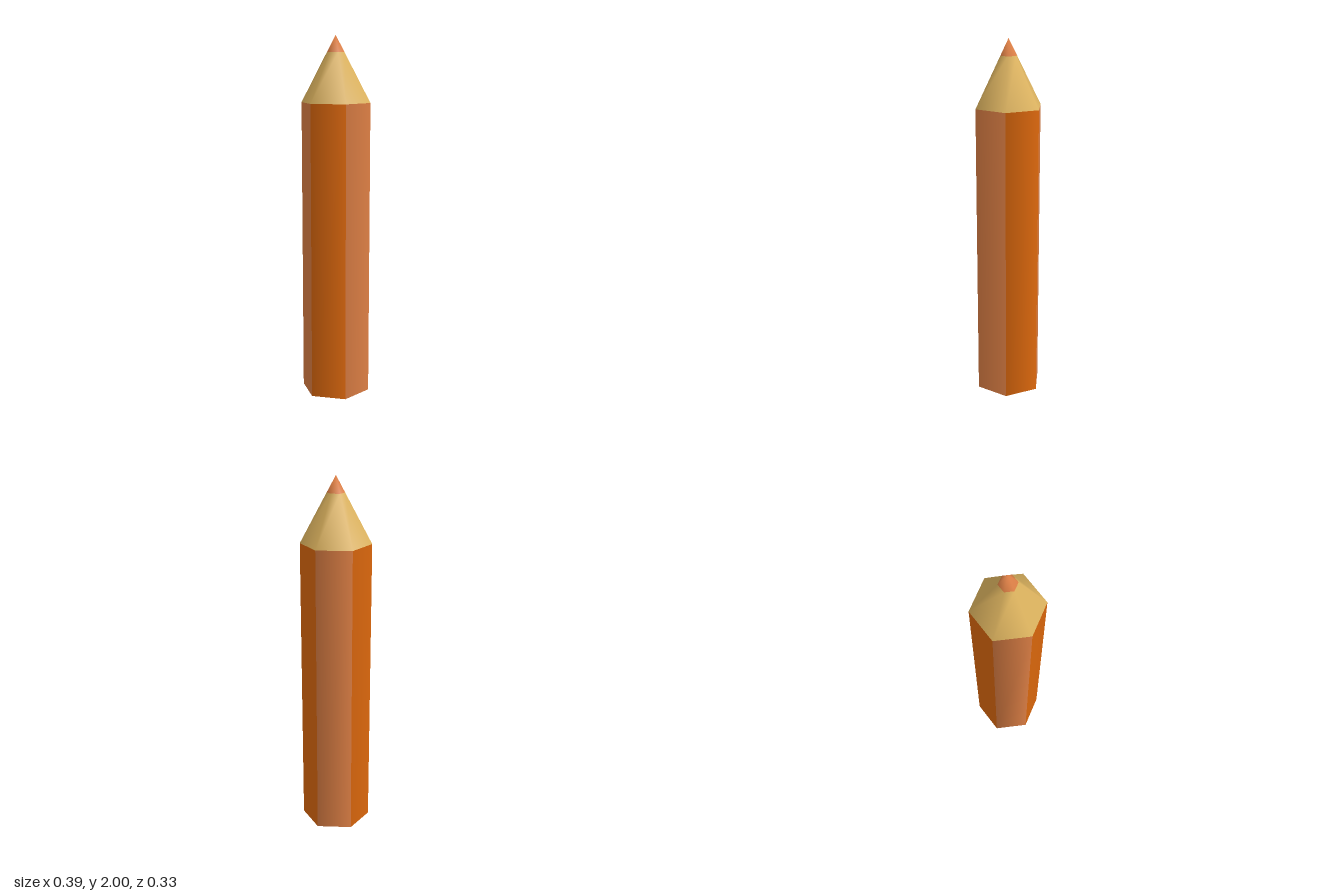
import * as THREE from 'three';
import { mergeVertices } from 'three/addons/utils/BufferGeometryUtils.js';

const SIDES = 6;
const RADIUS = 0.193;
const SHOULDER = 1.64; // where the barrel meets the sharpened wood
const LEAD = 1.91; // where the wood meets the lead
const TOP = 2;
const START = -Math.PI / SIDES; // flat face towards the front

function material(name, color) {
  const m = new THREE.MeshStandardMaterial({ color });
  m.name = name;
  return m;
}

// Radius of the sharpened cone at a given height
const coneRadius = (y) => (RADIUS * (TOP - y)) / (TOP - SHOULDER);

function hexSection(y0, y1, r0, r1, open) {
  const g = new THREE.CylinderGeometry(r1, r0, y1 - y0, SIDES, 1, open, START);
  return g.translate(0, (y0 + y1) / 2, 0);
}

export function createModel() {
  const group = new THREE.Group();
  group.name = 'pencil';
  const orange = material('deep orange', 0xdf690d);
  const paleOrange = material('pale orange', 0xdf8045);
  const wood = material('bare wood', 0xdeb45f);

  const add = (name, geometry, mat) => {
    const mesh = new THREE.Mesh(geometry, mat);
    mesh.name = name;
    group.add(mesh);
  };

  // Hexagonal barrel, its faces alternating between two oranges
  const barrel = hexSection(0, SHOULDER, RADIUS, RADIUS, false);
  barrel.clearGroups();
  for (let i = 0; i < SIDES; i++) barrel.addGroup(i * 6, 6, i % 2);
  barrel.addGroup(SIDES * 6, SIDES * 6, 0); // end caps
  add('barrel', barrel, [orange, paleOrange]);

  // Sharpened wood
  add('sharpenedWood', hexSection(SHOULDER, LEAD, RADIUS, coneRadius(LEAD), true), wood);

  // Coloured lead, with one shared smooth point
  let lead = hexSection(LEAD, TOP, coneRadius(LEAD), 0, true);
  lead.deleteAttribute('normal');
  lead.deleteAttribute('uv');
  lead = mergeVertices(lead, 1e-4);
  lead.computeVertexNormals();
  add('leadTip', lead, paleOrange);

  return group;
}
